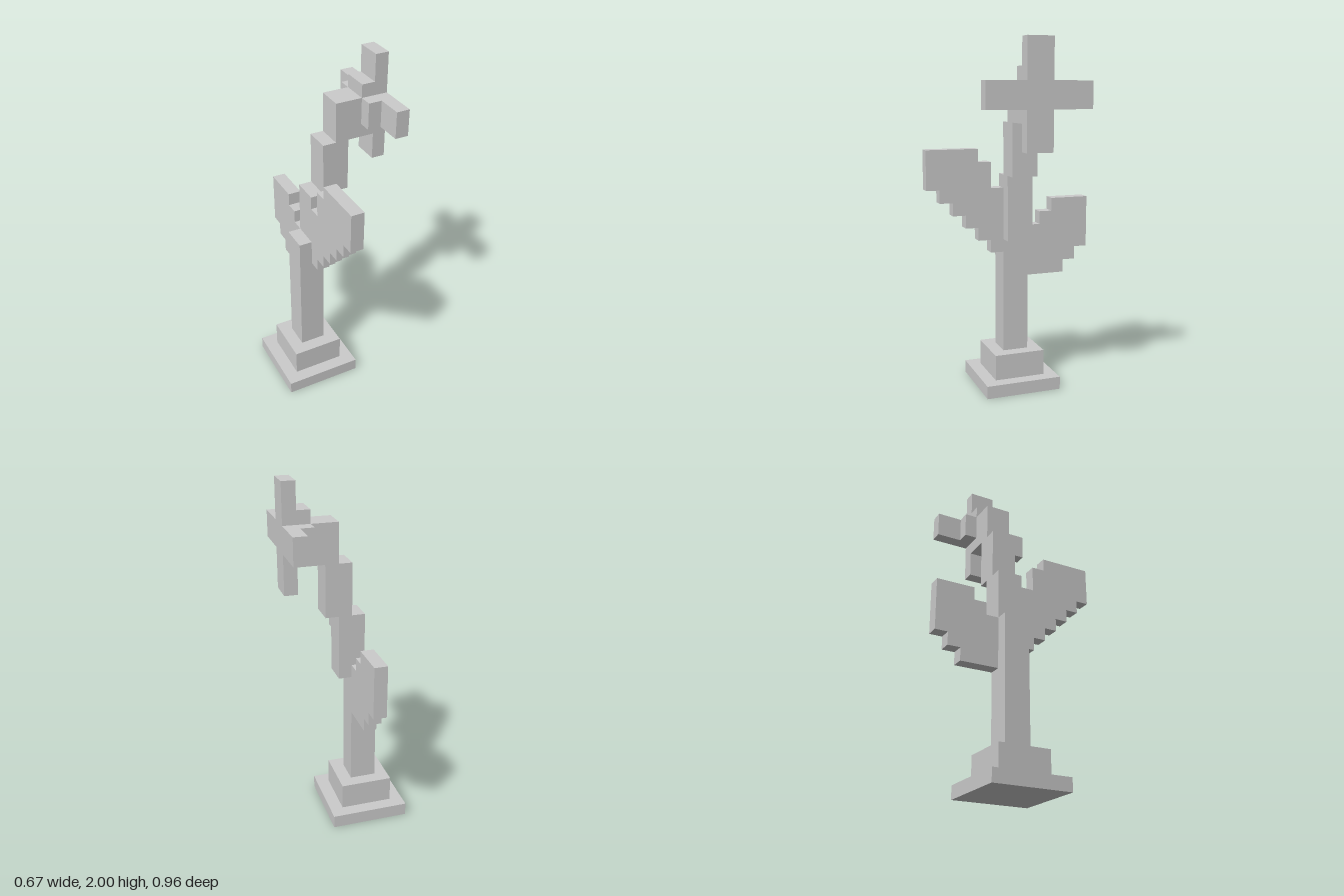
import * as THREE from 'three';

const U = 2 / 27; // one block; all sizes below are in blocks
const material = new THREE.MeshStandardMaterial({ color: 0xcccccc, flatShading: true });

function addMesh(group, name, geometry) {
  geometry.translate(-4.5, 0, -6.5).scale(U, U, U);
  const mesh = new THREE.Mesh(geometry, material);
  mesh.name = name;
  group.add(mesh);
}

// Square slab centred on the stem axis (x = 3, z = 6)
function slab(width, y0, y1) {
  return new THREE.BoxGeometry(width, y1 - y0, width).translate(3, (y0 + y1) / 2, 6);
}

const outline = (points) => new THREE.Shape(points.map(([a, b]) => new THREE.Vector2(a, b)));
const extrude = (points, depth) =>
  new THREE.ExtrudeGeometry(outline(points), { depth, bevelEnabled: false });

// Outline in (x, y), thickened from z0 to z1
const alongZ = (points, z0, z1) => extrude(points, z1 - z0).translate(0, 0, z0);

// Outline in (z, y), thickened from x0 to x1
const alongX = (points, x0, x1) => extrude(points, x1 - x0).rotateY(-Math.PI / 2).translate(x1, 0, 0);

// Plus-shaped outline centred on (z = 6, y = 23), arms two blocks wide
function plus(reach) {
  const r = reach;
  return [[-r, -1], [-1, -1], [-1, -r], [1, -r], [1, -1], [r, -1],
    [r, 1], [1, 1], [1, r], [-1, r], [-1, 1], [-r, 1]].map(([z, y]) => [z + 6, y + 23]);
}

export function createModel() {
  const group = new THREE.Group();
  group.name = 'blockFlower';

  // Stepped pot base
  addMesh(group, 'basePlate', slab(6, 0, 1));
  addMesh(group, 'baseStep', slab(4, 1, 3));

  // Stem leaning in steps towards +x
  addMesh(group, 'stem', alongZ([
    [2, 3], [4, 3], [4, 12], [5, 12], [5, 17], [6, 17], [6, 21], [7, 21],
    [7, 24], [5, 24], [5, 21], [4, 21], [4, 17], [3, 17], [3, 13], [2, 13],
  ], 5, 7));

  // Taller front leaf with a staircase underside
  const frontLeaf = [[13, 19], [9, 19], [9, 18], [8, 18], [8, 16], [7, 16]];
  for (let i = 0; i < 6; i++) frontLeaf.push([7 + i, 11 + i], [8 + i, 11 + i]);
  addMesh(group, 'frontLeaf', alongX(frontLeaf, 3, 4));

  // Lower back leaf
  addMesh(group, 'backLeaf', alongX([
    [5, 9], [5, 13], [4, 13], [4, 14], [3, 14], [3, 15],
    [0, 15], [0, 11], [1, 11], [1, 10], [2, 10], [2, 9],
  ], 3, 4));

  // Flower: small cross behind a large cross of petals
  addMesh(group, 'flowerCup', alongX(plus(2), 7, 8));
  addMesh(group, 'petals', alongX(plus(4), 8, 9));

  return group;
}
